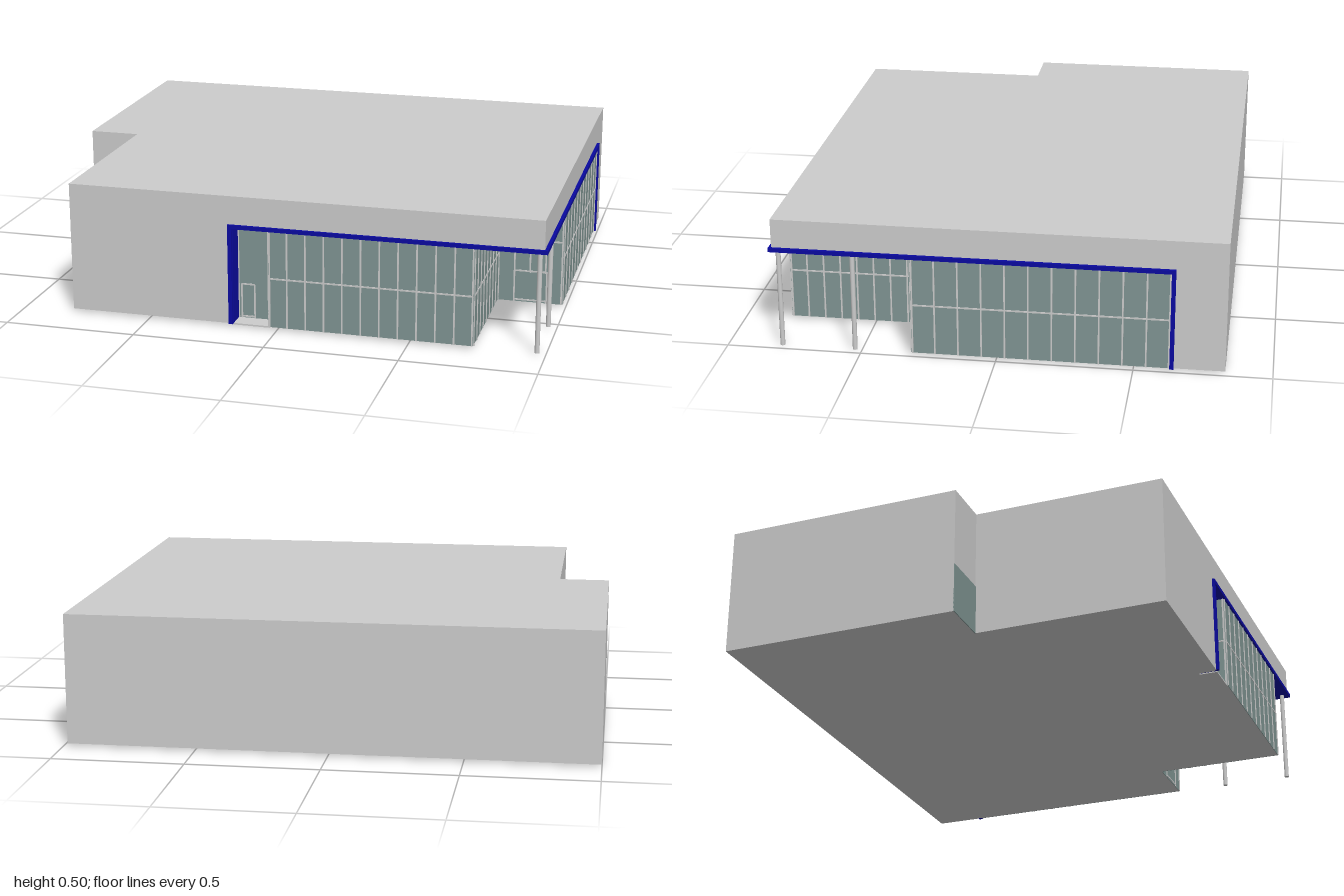
import * as THREE from 'three';

const grey = new THREE.MeshStandardMaterial({ color: 0xcccccc });
const glass = new THREE.MeshStandardMaterial({ color: 0x7f9492 });
const blue = new THREE.MeshStandardMaterial({ color: 0x0a0aa0 });

const BASE = 0.01, HEAD = 0.385, ROOF = 0.505;

// Box given by its minimum and maximum corners
function block(parent, name, mat, [x0, y0, z0], [x1, y1, z1]) {
  const mesh = new THREE.Mesh(new THREE.BoxGeometry(x1 - x0, y1 - y0, z1 - z0), mat);
  mesh.position.set((x0 + x1) / 2, (y0 + y1) / 2, (z0 + z1) / 2);
  mesh.name = name;
  parent.add(mesh);
  return mesh;
}

// Solid storey from a plan outline of [x, z] points
function storey(parent, name, plan, y0, y1) {
  const shape = new THREE.Shape(plan.map(([x, z]) => new THREE.Vector2(x, -z)));
  const geo = new THREE.ExtrudeGeometry(shape, { depth: y1 - y0, bevelEnabled: false });
  geo.rotateX(-Math.PI / 2);
  geo.translate(0, y0, 0);
  const mesh = new THREE.Mesh(geo, grey);
  mesh.name = name;
  parent.add(mesh);
}

// Glazed wall in local x/y, facing local +z
function glazing(parent, name, width, bays, rails = [0.2]) {
  const wall = new THREE.Group();
  wall.name = name;
  block(wall, 'glass', glass, [0, BASE, 0], [width, HEAD, 0.002]);
  for (let i = 0; i <= bays; i++) bar(wall, 'mullion', (width * i) / bays, BASE, HEAD, width);
  for (const y of rails) rail(wall, 'rail', 0, width, y);
  parent.add(wall);
  return wall;
}

const T = 0.003; // half width of a glazing bar
function bar(wall, name, x, y0, y1, width) {
  const c = Math.min(Math.max(x, T), width - T);
  block(wall, name, grey, [c - T, y0, 0], [c + T, y1, 0.005]);
}
function rail(wall, name, x0, x1, y) {
  block(wall, name, grey, [x0, y - T, 0], [x1, y + T, 0.004]);
}

// Framed door on a glazed wall
function door(wall, x0, x1, height, leaves, width) {
  for (let i = 0; i <= leaves; i++) {
    bar(wall, 'doorPost', x0 + ((x1 - x0) * i) / leaves, BASE, height, width);
  }
  rail(wall, 'doorHead', x0, x1, height);
  rail(wall, 'doorSill', x0, x1, BASE + 0.008);
}

export function createModel() {
  const model = new THREE.Group();
  model.name = 'building';

  // Upper storey overhangs the corner porch and the entrance recess
  const back = [[0.985, -0.83], [-1, -0.83], [-1, 0.09], [-0.805, 0.09], [-0.805, 0.82]];
  storey(model, 'upperWalls', [...back, [0.985, 0.82]], HEAD, ROOF);
  storey(model, 'lowerWalls', [
    ...back,
    [-0.17, 0.82], [-0.17, 0.75], [-0.03, 0.75], [-0.03, 0.82],
    [0.735, 0.82], [0.735, 0.31], [0.985, 0.31],
  ], BASE, HEAD);

  // Glazed walls
  glazing(model, 'frontGlazing', 0.765, 11).position.set(-0.03, 0, 0.82);

  const side = glazing(model, 'sideGlazing', 0.94, 11);
  side.position.set(0.985, 0, 0.31);
  side.rotation.y = Math.PI / 2;

  const porchSide = glazing(model, 'porchSideGlazing', 0.51, 8);
  porchSide.position.set(0.735, 0, 0.82);
  porchSide.rotation.y = Math.PI / 2;

  const porchBack = glazing(model, 'porchBackGlazing', 0.25, 1, [0.26]);
  porchBack.position.set(0.735, 0, 0.31);
  bar(porchBack, 'mullion', 0.065, 0.13, HEAD, 0.25);
  bar(porchBack, 'mullion', 0.125, 0.13, HEAD, 0.25);
  bar(porchBack, 'mullion', 0.185, 0.13, HEAD, 0.25);
  door(porchBack, 0.065, 0.19, 0.135, 1, 0.25);

  // Entrance recess with its door, return wall and floor
  const entry = glazing(model, 'entranceGlazing', 0.14, 1, [0.37]);
  entry.position.set(-0.17, 0, 0.75);
  door(entry, 0.015, 0.065, 0.145, 1, 0.14);
  const entrySide = glazing(model, 'entranceReturn', 0.07, 1);
  entrySide.position.set(-0.03, 0, 0.75);
  entrySide.rotation.y = -Math.PI / 2;
  block(model, 'entranceFloor', grey, [-0.17, 0.006, 0.75], [-0.03, 0.012, 0.82]);
  block(model, 'entranceSidePanel', blue, [-0.172, BASE, 0.75], [-0.168, HEAD, 0.82]);
  block(model, 'entranceSoffit', blue, [-0.17, 0.382, 0.75], [-0.03, 0.386, 0.82]);

  // Low glazed band in the stepped-back left corner
  block(model, 'cornerWindow', glass, [-1, BASE, 0.088], [-0.805, 0.2, 0.093]);

  // Blue frame around the glazing and porch soffit
  block(model, 'frontFascia', blue, [-0.185, 0.382, 0.815], [0.997, 0.397, 0.83]);
  block(model, 'sideFascia', blue, [0.98, 0.382, -0.645], [0.997, 0.397, 0.815]);
  block(model, 'frontEndTrim', blue, [-0.185, BASE, 0.815], [-0.17, 0.382, 0.83]);
  block(model, 'sideEndTrim', blue, [0.98, BASE, -0.645], [0.997, 0.382, -0.63]);
  block(model, 'porchSoffit', blue, [0.735, 0.382, 0.31], [0.985, 0.386, 0.82]);

  // Porch columns
  for (const z of [0.8, 0.527]) {
    const column = new THREE.Mesh(new THREE.CylinderGeometry(0.009, 0.009, HEAD, 20), grey);
    column.position.set(0.966, HEAD / 2, z);
    column.name = 'porchColumn';
    model.add(column);
  }
  return model;
}
